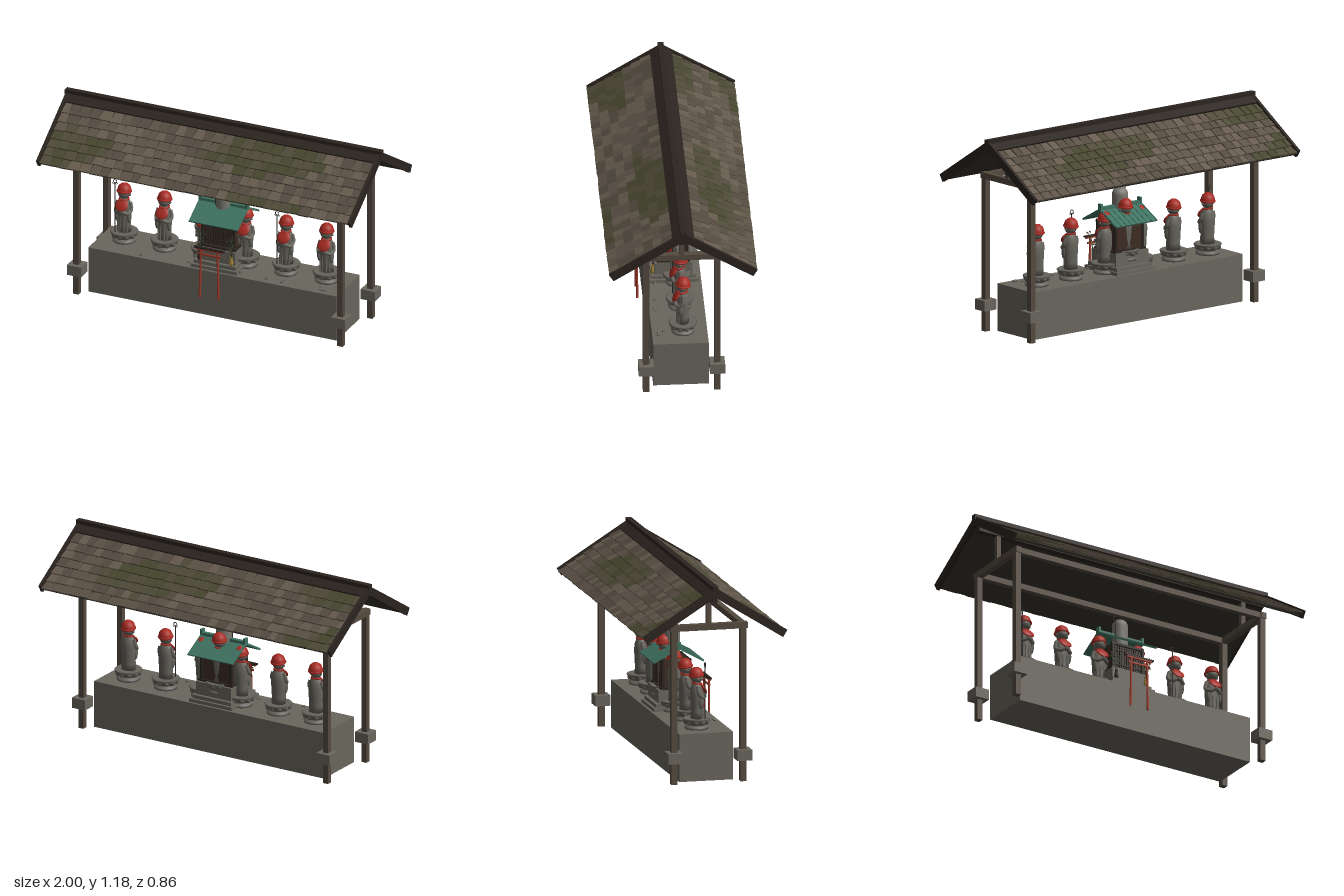
import * as THREE from 'three';
import { mergeGeometries } from 'three/addons/utils/BufferGeometryUtils.js';

const mat = (color, extra = {}) => new THREE.MeshStandardMaterial({ color, ...extra });
const M = {
  stone: mat(0x69665d), statue: mat(0x66645c), stele: mat(0x7a7870), post: mat(0x544a3f), dark: mat(0x2b241f),
  under: mat(0x38332b), door: mat(0x3d2c22), copper: mat(0x3f7361), red: mat(0xa82b22),
  torii: mat(0xa03a28), metal: mat(0x2a2a28), gold: mat(0xa88a3a), leaf: mat(0x3a4028),
};
const TILES = [0x5d5347, 0x544b40, 0x665b4e, 0x47462f, 0x4f4b39].map((c) => mat(c));

let seed = 7;
const rnd = () => (seed = (seed * 16807) % 2147483647) / 2147483647;

function add(parent, name, geo, material, x = 0, y = 0, z = 0) {
  const m = new THREE.Mesh(geo, material);
  m.name = name;
  m.position.set(x, y, z);
  parent.add(m);
  return m;
}
const box = (p, name, w, h, d, x, y, z, m) => add(p, name, new THREE.BoxGeometry(w, h, d), m, x, y, z);
function group(parent, name, x = 0, y = 0, z = 0) {
  const g = new THREE.Group();
  g.name = name;
  g.position.set(x, y, z);
  parent.add(g);
  return g;
}
const lathe = (pts, n) => new THREE.LatheGeometry(pts.map(([r, y]) => new THREE.Vector2(r, y)), n);

// One slope of the big roof; local z runs down the slope, local y is its normal
function roofSlope(parent, turn) {
  const side = group(parent, 'roofSlope', 0, 1.175, 0);
  side.rotation.y = turn;
  const s = group(side, 'slopePlane');
  s.rotation.x = 0.56;
  box(s, 'roofDeck', 1.95, 0.016, 0.49, 0, -0.034, 0.25, M.under);
  for (const x of [-0.985, 0.985]) box(s, 'bargeboard', 0.018, 0.048, 0.505, x, -0.024, 0.2525, M.dark);
  box(s, 'ridgeFlashing', 1.95, 0.012, 0.075, 0, -0.009, 0.04, M.dark);
  const bins = TILES.map(() => []);
  for (let r = 0; r < 7; r++) {
    const u = 0.072 + r * 0.06;
    for (let x = -0.975; x < 0.97;) {
      const w = Math.min(0.045 + rnd() * 0.03, 0.975 - x);
      const g = new THREE.BoxGeometry(w - 0.003, 0.01, 0.078);
      const p = g.attributes.position;
      for (let i = 0; i < p.count; i++) if (p.getZ(i) < 0) p.setX(i, p.getX(i) * 0.88);
      g.rotateX(-0.11).translate(x + w / 2, -0.018 + rnd() * 0.003, u + 0.036 + rnd() * 0.005);
      const moss = Math.sin(x * 5 + turn) + Math.sin(r * 0.9 + x * 2.3) + rnd() * 0.6;
      bins[moss > 0.9 ? 3 + Math.floor(rnd() * 2) : Math.floor(rnd() * 3)].push(g);
      x += w;
    }
  }
  bins.forEach((b, i) => b.length && add(s, 'roofTiles', mergeGeometries(b), TILES[i]));
}

// Monk's staff with a ring on top
function staff(parent, x, z, y0, y1) {
  const g = group(parent, 'staff', x, 0, z);
  add(g, 'staffRod', new THREE.CylinderGeometry(0.003, 0.003, y1 - y0 - 0.02, 6), M.metal, 0, (y0 + y1 - 0.02) / 2, 0);
  add(g, 'staffRing', new THREE.TorusGeometry(0.011, 0.0022, 5, 14), M.metal, 0, y1 - 0.013, 0);
  for (const s of [-1, 1]) add(g, 'smallRing', new THREE.TorusGeometry(0.005, 0.0015, 4, 8), M.metal, s * 0.01, y1 - 0.024, 0);
}

// Stone figure with lotus seat, red bib and red cap
function statue(parent, x, y, z, hasStaff) {
  const g = group(parent, 'stoneStatue', x, y, z);
  add(g, 'lotusSeat', lathe([[0, 0], [0.068, 0], [0.07, 0.014], [0.052, 0.02], [0.052, 0.026], [0.07, 0.038],
    [0.082, 0.058], [0.076, 0.064], [0.055, 0.06], [0, 0.062]], 20), M.statue);
  for (let i = 0; i < 10; i++) {
    const a = (i / 10) * Math.PI * 2;
    add(g, 'lotusPetal', new THREE.SphereGeometry(0.018, 8, 6), M.statue, Math.sin(a) * 0.062, 0.045, Math.cos(a) * 0.062);
  }
  const body = lathe([[0, 0.06], [0.043, 0.06], [0.04, 0.1], [0.043, 0.15], [0.046, 0.2], [0.042, 0.235],
    [0.03, 0.262], [0.018, 0.275], [0, 0.28]], 18);
  add(g, 'robe', body, M.statue).scale.z = 0.82;
  for (const s of [-1, 1]) {
    const arm = new THREE.CatmullRomCurve3([[0.036, 0.25, 0], [0.047, 0.205, 0.006], [0.036, 0.185, 0.032], [0.008, 0.2, 0.046]]
      .map(([a, b, c]) => new THREE.Vector3(a * s, b, c)));
    add(g, 'arm', new THREE.TubeGeometry(arm, 10, 0.012, 8), M.statue);
    const sleeve = add(g, 'sleeve', new THREE.SphereGeometry(1, 10, 8), M.statue, s * 0.038, 0.165, 0.016);
    sleeve.scale.set(0.013, 0.045, 0.018);
    for (const [fx, fz] of [[0.012, 0.034], [0.028, 0.025]])
      add(g, 'robeFold', new THREE.CylinderGeometry(0.004, 0.006, 0.1, 6), M.statue, s * fx, 0.11, fz);
    add(g, 'ear', new THREE.SphereGeometry(0.008, 6, 5), M.statue, s * 0.035, 0.295, 0);
  }
  add(g, 'hands', new THREE.SphereGeometry(0.015, 8, 6), M.statue, 0, 0.2, 0.046);
  add(g, 'head', new THREE.SphereGeometry(0.036, 18, 14), M.statue, 0, 0.302, 0.002);
  const bib = add(g, 'bib', new THREE.SphereGeometry(1, 16, 10), M.red, 0, 0.236, 0.038);
  bib.scale.set(0.04, 0.038, 0.011);
  bib.rotation.x = -0.6;
  const collar = add(g, 'bibCord', new THREE.TorusGeometry(0.026, 0.006, 6, 18), M.red, 0, 0.265, 0.002);
  collar.rotation.x = Math.PI / 2 + 0.15;
  const cap = group(g, 'cap', 0, 0.302, 0);
  cap.rotation.x = -0.1;
  add(cap, 'capCrown', lathe([[0.041, 0.006], [0.041, 0.022], [0.034, 0.042], [0.018, 0.055], [0, 0.059]], 18), M.red);
  add(cap, 'capBrim', new THREE.TorusGeometry(0.039, 0.007, 6, 20), M.red, 0, 0.01, 0).rotation.x = Math.PI / 2;
  if (hasStaff) staff(g, -0.04, 0.04, 0.06, 0.395);
}

// Small wooden shrine on stone steps with a copper roof
function shrine(parent) {
  const g = group(parent, 'shrine');
  [[0.29, 0.28, 0.02], [0.265, 0.3, 0.022], [0.24, 0.322, 0.078]].forEach(([w, y, h], i) =>
    box(g, 'shrineStep', w, h, [0.29, 0.26, 0.22][i], 0, y + h / 2, 0, M.stone));
  box(g, 'shrineFloor', 0.23, 0.012, 0.19, 0, 0.405, 0, M.dark);
  box(g, 'shrineBody', 0.19, 0.165, 0.15, 0, 0.49, -0.005, M.door);
  for (const x of [-0.1, 0.1]) for (const z of [-0.08, 0.08]) box(g, 'shrinePost', 0.014, 0.17, 0.014, x, 0.49, z, M.dark);
  for (const z of [-0.08, 0.08]) box(g, 'shrineLintel', 0.22, 0.014, 0.012, 0, 0.565, z, M.dark);
  for (let i = 0; i < 11; i++) box(g, 'doorSlat', 0.006, 0.14, 0.008, -0.08 + i * 0.016, 0.485, 0.074, M.dark);
  for (const y of [0.44, 0.53]) box(g, 'doorRail', 0.19, 0.008, 0.01, 0, y, 0.075, M.dark);
  for (const s of [-1, 1]) {
    const slope = box(g, 'copperRoof', 0.31, 0.008, 0.17, 0, 0.608, s * 0.074, M.copper);
    slope.rotation.x = s * 0.5;
    for (let i = 0; i < 9; i++)
      box(slope, 'roofRib', 0.005, 0.005, 0.17, -0.15 + i * 0.0375, 0.005, 0, M.copper);
    box(g, 'ridgeEnd', 0.014, 0.045, 0.03, s * 0.147, 0.66, 0, M.copper);
  }
  box(g, 'copperRidge', 0.3, 0.022, 0.026, 0, 0.652, 0, M.copper);
  // Round-topped stone rising through the roof
  const tall = new THREE.CapsuleGeometry(0.047, 0.2, 8, 20);
  add(g, 'roundStone', tall, M.stele, 0, 0.619, 0);
  statue(g, 0, 0.345, -0.048, false);
  staff(g, -0.045, 0.02, 0.45, 0.77);
  // Offering vases with sprigs
  for (const s of [-1, 1]) {
    const v = group(g, 'flowerVase', s * 0.1, 0.322, 0.118);
    add(v, 'vase', lathe([[0, 0], [0.009, 0], [0.013, 0.02], [0.007, 0.045], [0.01, 0.055]], 10), s > 0 ? M.gold : M.metal).material.side = THREE.DoubleSide;
    for (let i = 0; i < 4; i++) {
      const sprig = group(v, 'sprig', 0, 0.05, 0);
      sprig.rotation.set(-0.2 + rnd() * 0.35, 0, -0.25 + i * 0.16);
      add(sprig, 'stem', new THREE.CylinderGeometry(0.0015, 0.0015, 0.12, 4), M.leaf, 0, 0.06, 0);
      for (let k = 0; k < 4; k++)
        add(sprig, 'leaf', new THREE.OctahedronGeometry(0.008), M.leaf, (k % 2 - 0.5) * 0.014, 0.045 + k * 0.026, 0).scale.set(0.8, 1, 0.4);
    }
  }
}

export function createModel() {
  const root = new THREE.Group();
  root.name = 'roadsideShrine';

  // Stone platform and shelter frame
  box(root, 'stonePlatform', 1.57, 0.28, 0.32, 0, 0.14, 0, M.stone);
  for (const x of [-0.835, 0.835]) {
    for (const z of [-0.205, 0.205]) {
      box(root, 'post', 0.034, 0.91, 0.036, x, 0.455, z, M.post);
      box(root, 'postBlock', 0.09, 0.062, 0.088, x, 0.157, z, M.stone);
    }
    box(root, 'tieBeam', 0.036, 0.036, 0.46, x, 0.917, 0, M.post);
    box(root, 'kingPost', 0.028, 0.17, 0.028, x, 1.015, 0, M.post);
  }
  for (const z of [-0.205, 0.205]) box(root, 'wallBeam', 1.67, 0.034, 0.034, 0, 0.917, z, M.post);
  box(root, 'ridgeBeam', 1.94, 0.036, 0.04, 0, 1.1, 0, M.dark);

  // Main roof
  roofSlope(root, 0);
  roofSlope(root, Math.PI);
  box(root, 'ridgeCap', 2, 0.03, 0.034, 0, 1.168, 0, M.dark);

  // Row of statues
  [-0.64, -0.385, -0.13, 0.13, 0.385, 0.64].forEach((x, i) => statue(root, x, 0.28, -0.02, i === 0 || i === 4));
  shrine(root);

  // Red gate hanging in front of the platform
  const gate = group(root, 'gate', 0, 0, 0.205);
  for (const s of [-1, 1])
    add(gate, 'gatePost', new THREE.CylinderGeometry(0.006, 0.007, 0.31, 10), M.torii, s * 0.056, 0.285, 0).rotation.z = s * 0.02;
  box(gate, 'gateTie', 0.145, 0.01, 0.008, 0, 0.405, 0, M.torii);
  box(gate, 'gateLintel', 0.17, 0.009, 0.012, 0, 0.437, 0, M.torii);
  box(gate, 'gateCap', 0.19, 0.009, 0.018, 0, 0.446, 0, M.dark);

  // Loose pebbles
  for (let i = 0; i < 12; i++) {
    const p = add(root, 'pebble', new THREE.DodecahedronGeometry(0.008 + rnd() * 0.005), M.statue, -0.7 + rnd() * 1.4, 0.286, 0.09 + rnd() * 0.05);
    p.scale.y = 0.7;
  }
  return root;
}
